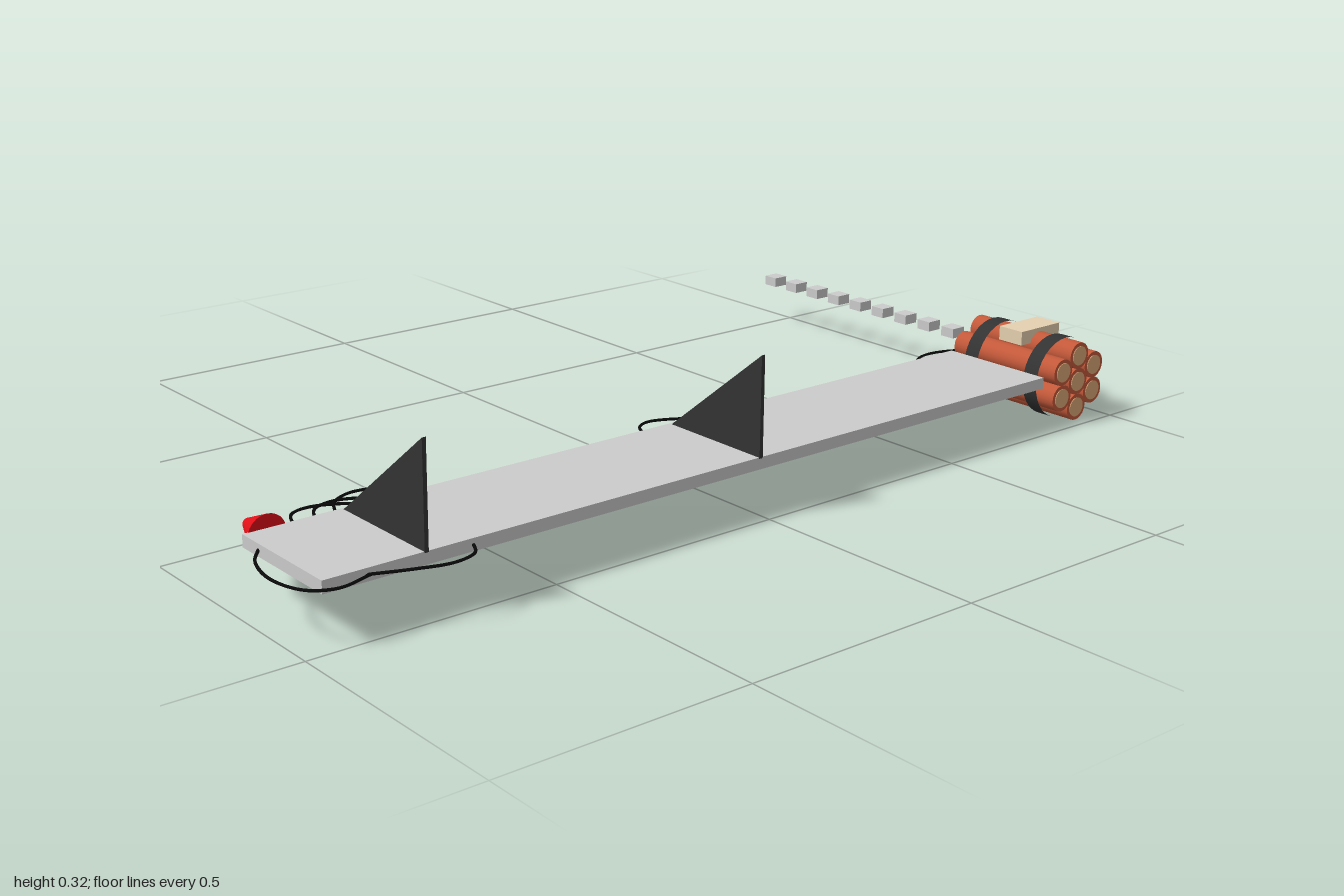
import * as THREE from 'three';

const mat = (color, opts = {}) => new THREE.MeshStandardMaterial({ color, ...opts });

export function createModel() {
  const model = new THREE.Group();
  const grey = mat(0xcccccc), dark = mat(0x333333), black = mat(0x0a0a0a);
  const clay = mat(0xc4593a), tan = mat(0xdba878), cream = mat(0xe6d0b0);

  const add = (name, geometry, material, x = 0, y = 0, z = 0, parent = model) => {
    const mesh = new THREE.Mesh(geometry, material);
    mesh.name = name;
    mesh.position.set(x, y, z);
    parent.add(mesh);
    return mesh;
  };
  // Cylinder lying along z; the first radius faces +z
  const rod = (rFront, rBack, length, sides, open = false) =>
    new THREE.CylinderGeometry(rFront, rBack, length, sides, 1, open).rotateX(Math.PI / 2);

  // Long flat board
  add('board', new THREE.BoxGeometry(1.75, 0.024, 0.257), grey, -0.075, 0.106, 0.347);

  // Two upright triangular fins, tall at the front edge
  const finShape = new THREE.Shape([
    new THREE.Vector2(-0.477, 0.116),
    new THREE.Vector2(-0.222, 0.116),
    new THREE.Vector2(-0.477, 0.317),
  ]);
  const finGeo = new THREE.ExtrudeGeometry(finShape, { depth: 0.008, bevelEnabled: false });
  finGeo.translate(0, 0, -0.004).rotateY(Math.PI / 2);
  for (const x of [-0.75, -0.003]) add('fin', finGeo, dark, x);

  // Red cone on the back edge
  add('cone', rod(0.038, 0.01, 0.068, 24), mat(0xe01018), -0.903, 0.106, 0.186);

  // Bundle of seven sticks: one in the middle, six around it
  const bundle = new THREE.Group();
  bundle.name = 'bundle';
  bundle.position.set(0.911, 0.089, 0.337);
  model.add(bundle);
  const stickGeo = rod(0.029, 0.029, 0.28, 20);
  const capGeo = rod(0.021, 0.021, 0.283, 20);
  for (let i = 0; i < 7; i++) {
    const a = Math.PI / 2 + i * Math.PI / 3;
    const r = i < 6 ? 0.057 : 0;
    const x = r * Math.cos(a), y = r * Math.sin(a);
    add('stick', stickGeo, clay, x, y, 0, bundle);
    add('stickEnds', capGeo, tan, x, y, 0, bundle);
  }

  // Straps around the bundle and the block on top
  const strapGeo = rod(0.088, 0.088, 0.036, 32, true);
  for (const z of [0.083, -0.083]) add('strap', strapGeo, dark, 0, 0, z, bundle);
  add('topBlock', new THREE.BoxGeometry(0.122, 0.03, 0.062), cream, 0.004, 0.079, -0.002, bundle);

  // Row of small blocks trailing behind the bundle
  const linkGeo = new THREE.BoxGeometry(0.036, 0.022, 0.036);
  for (let i = 0; i < 10; i++) add('trailBlock', linkGeo, grey, 0.955, 0.104, 0.154 - i * 0.0735);

  // Thin flat wires looping out from the board edges: [height, [x, z] ...]
  const wires = [
    [0.106, [-0.94, 0.26], [-0.98, 0.315], [-0.997, 0.4], [-0.975, 0.47], [-0.93, 0.494], [-0.86, 0.478]],
    [0.106, [-0.87, 0.472], [-0.79, 0.503], [-0.725, 0.52], [-0.675, 0.507], [-0.652, 0.47]],
    [0.106, [-0.85, 0.22], [-0.82, 0.16], [-0.78, 0.15], [-0.72, 0.175], [-0.673, 0.22]],
    [0.106, [-0.807, 0.22], [-0.775, 0.163], [-0.73, 0.15], [-0.67, 0.175], [-0.617, 0.22]],
    [0.106, [-0.765, 0.22], [-0.73, 0.155], [-0.68, 0.132], [-0.61, 0.155], [-0.54, 0.22]],
    [0.1, [-0.057, 0.22], [-0.035, 0.16], [0, 0.143], [0.06, 0.165], [0.13, 0.22]],
    [0.09, [0.73, 0.22], [0.75, 0.165], [0.8, 0.142], [0.87, 0.155], [0.915, 0.195]],
  ];
  for (const [y, ...points] of wires) {
    const curve = new THREE.CatmullRomCurve3(points.map(([x, z]) => new THREE.Vector3(x, y, z)));
    add('wire', new THREE.TubeGeometry(curve, 40, 0.003, 6), black);
  }
  return model;
}
